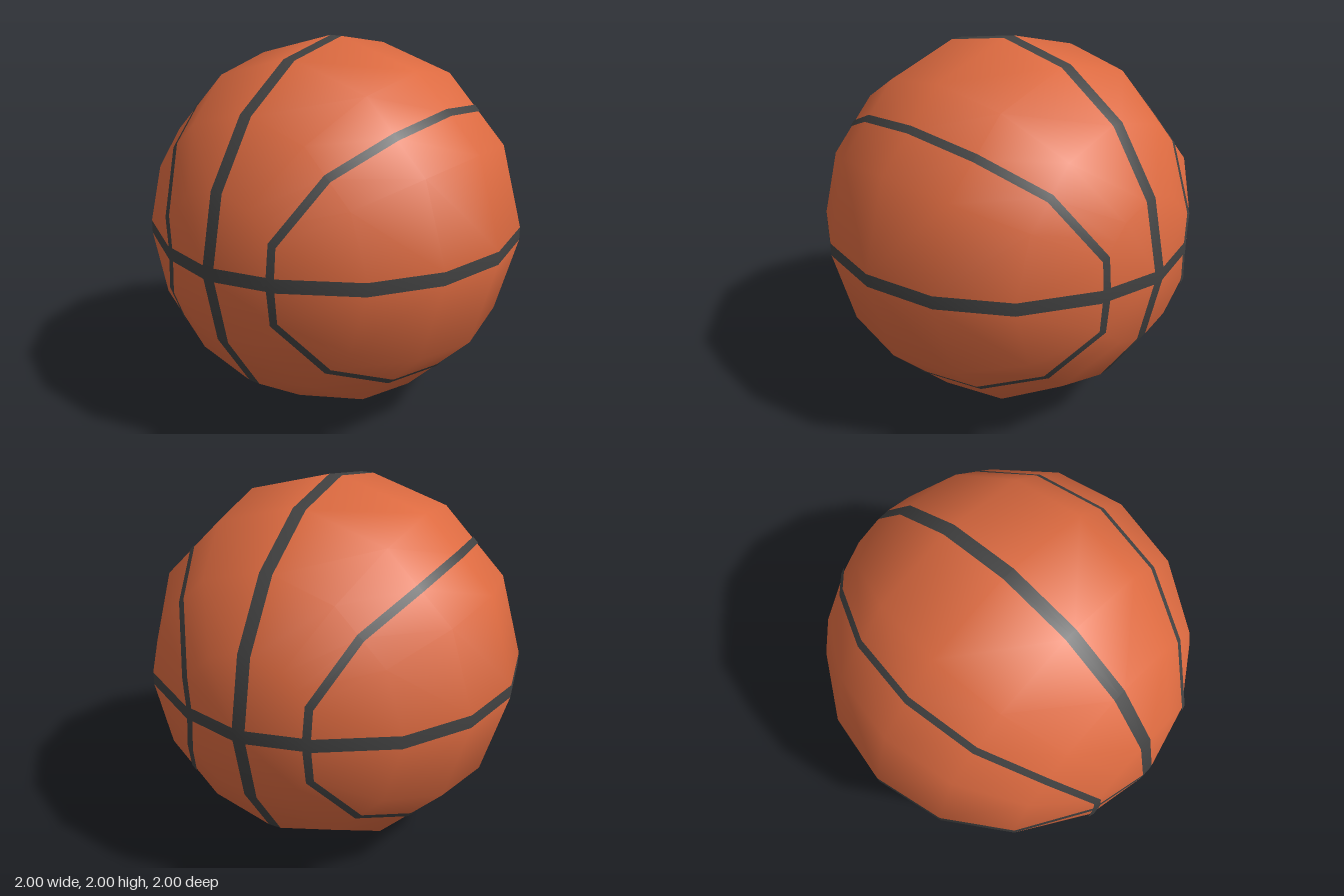
import * as THREE from 'three';

const H = 0.035;   // half width of the straight seams
const W = 0.021;   // half width of the curved seams
const LIFT = 0.006;
const SIGNS = [1, -1];

// Triangle collector: faces outward from the centre, shaded with radial normals
function collector() {
  const pos = [], nor = [];
  const tri = (a, b, c) => {
    const n = b.clone().sub(a).cross(c.clone().sub(a));
    if (n.length() < 1e-7) return;
    const mid = a.clone().add(b).add(c);
    const pts = n.dot(mid) > 0 ? [a, b, c] : [a, c, b];
    for (const p of pts) {
      pos.push(p.x, p.y, p.z);
      const q = p.clone().normalize();
      nor.push(q.x, q.y, q.z);
    }
  };
  return {
    quad(a, b, c, d) { tri(a, b, c); tri(a, c, d); },
    geometry() {
      const g = new THREE.BufferGeometry();
      g.setAttribute('position', new THREE.Float32BufferAttribute(pos, 3));
      g.setAttribute('normal', new THREE.Float32BufferAttribute(nor, 3));
      return g;
    },
  };
}

// One quarter of the cross-section at ring i, from the top seam to the side seam
function section(i) {
  if (i < 0) return Array.from({ length: 7 }, () => new THREE.Vector3(1, 0, 0));
  const t = i * Math.PI / 8;
  const x = Math.cos(t), r = Math.max(Math.sin(t), H);
  const side = i === 1 ? 0.35 : r;   // slight dip where the curved seam crosses
  const zy = [[0, r], [H, r]];
  for (const [z, y] of [[0.5, 0.866], [0.683, 0.683], [0.866, 0.5]]) {
    zy.push([Math.max(H, z * r), Math.max(H, y * r)]);
  }
  zy.push([side, H], [side, 0]);
  return zy.map(([z, y]) => new THREE.Vector3(x, y, z));
}

export function createModel() {
  const orange = new THREE.MeshStandardMaterial({ color: 0xdc6a40 });
  orange.name = 'orange';
  const charcoal = new THREE.MeshStandardMaterial({ color: 0x424242 });
  charcoal.name = 'charcoal';

  const panels = collector(), straight = collector(), curved = collector();

  // Ribbon centre line for one eighth of the ball
  const path = [
    [0, 0.683, 0.683], [0.383, 0.631, 0.631], [0.707, 0.483, 0.483],
    [0.924, 0.195, 0.335], [0.928, 0, 0.32],
  ].map((p) => new THREE.Vector3(...p));
  const edges = path.map((p, i) => {
    const n = p.clone().normalize();
    const along = path[Math.min(i + 1, 4)].clone().sub(path[Math.max(i - 1, 0)]);
    if (i === 0) along.set(1, 0, 0);
    if (i === 4) along.set(0, -1, 0);
    const across = along.cross(n).normalize().multiplyScalar(W);
    const c = p.clone().addScaledVector(n, LIFT);
    return [c.clone().add(across), c.clone().sub(across)];
  });

  // Mirror the eighth into all octants
  for (const sx of SIGNS) for (const sy of SIGNS) for (const sz of SIGNS) {
    const m = (v) => new THREE.Vector3(v.x * sx, v.y * sy, v.z * sz);
    for (let i = -1; i < 4; i++) {
      const a = section(i).map(m), b = section(i + 1).map(m);
      for (let j = 0; j < 6; j++) {
        const seam = i < 0 || j === 0 || j === 5;
        (seam ? straight : panels).quad(a[j], a[j + 1], b[j + 1], b[j]);
      }
    }
    for (let i = 0; i < 4; i++) {
      curved.quad(m(edges[i][0]), m(edges[i][1]), m(edges[i + 1][1]), m(edges[i + 1][0]));
    }
  }

  const group = new THREE.Group();
  group.name = 'ball';
  for (const [name, part, material] of [
    ['panels', panels, orange],
    ['straightSeams', straight, charcoal],
    ['curvedSeams', curved, charcoal],
  ]) {
    const mesh = new THREE.Mesh(part.geometry(), material);
    mesh.name = name;
    mesh.position.y = 1;
    group.add(mesh);
  }
  return group;
}
